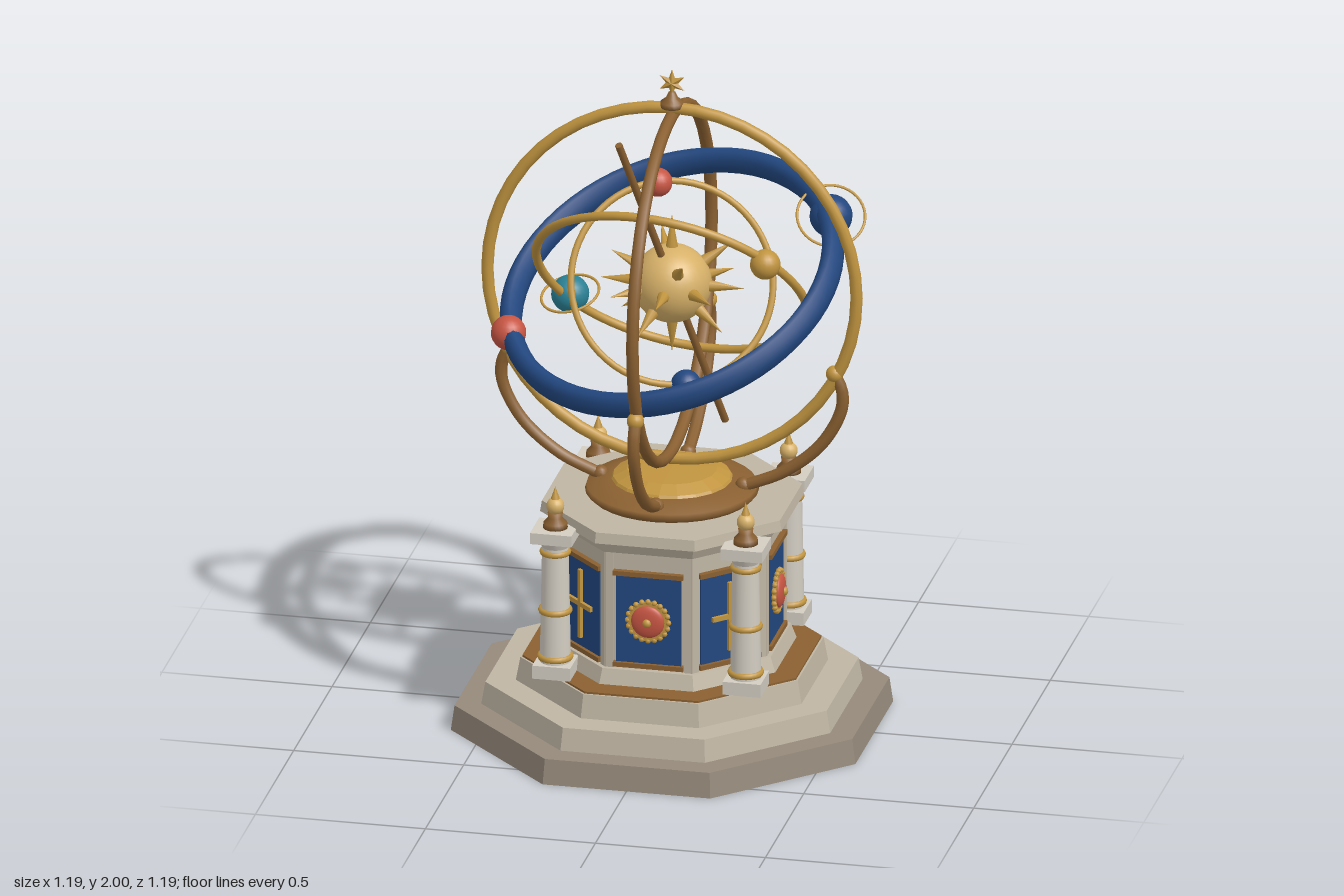
import * as THREE from 'three';

const mat = (name, color) => {
  const m = new THREE.MeshStandardMaterial({ color });
  m.name = name;
  return m;
};

export function createModel() {
  const gold = mat('gold', 0xc0943f), paleGold = mat('pale gold', 0xd6b068), bronze = mat('bronze', 0x8a6031);
  const stone = mat('stone', 0xbfb5a3), darkStone = mat('dark stone', 0x95897a), marble = mat('marble', 0xd2ccc1);
  const blue = mat('blue', 0x22477f), red = mat('red', 0xc65543), teal = mat('teal', 0x2a8195);

  const model = new THREE.Group();
  model.name = 'armillarySphere';
  const CENTER = new THREE.Vector3(0, 1.34, 0);
  const Z = new THREE.Vector3(0, 0, 1), Y = new THREE.Vector3(0, 1, 0);

  const add = (parent, name, geo, material, x = 0, y = 0, z = 0) => {
    const mesh = new THREE.Mesh(geo, material);
    mesh.name = name;
    mesh.position.set(x, y, z);
    parent.add(mesh);
    return mesh;
  };
  const group = (name, parent = model) => {
    const g = new THREE.Group();
    g.name = name;
    parent.add(g);
    return g;
  };
  const flat = (geo) => {
    const g = geo.index ? geo.toNonIndexed() : geo;
    g.computeVertexNormals();
    return g;
  };
  // Octagonal slab given by the distance from centre to its flat sides
  const octagon = (name, material, bottom, top, y0, y1) => {
    const k = 1 / Math.cos(Math.PI / 8);
    const geo = new THREE.CylinderGeometry(top * k, bottom * k, y1 - y0, 8).rotateY(Math.PI / 8);
    return add(model, name, flat(geo), material, 0, (y0 + y1) / 2, 0);
  };
  const ring = (name, material, center, normal, radius, tube, axial = 1, segments = 64) => {
    const geo = new THREE.TorusGeometry(radius, tube, 10, segments).scale(1, 1, axial);
    const mesh = add(model, name, geo, material, center.x, center.y, center.z);
    mesh.quaternion.setFromUnitVectors(Z, normal.clone().normalize());
    return mesh;
  };
  const v = (x, y, z) => new THREE.Vector3(x, y, z);
  const lathe = (points, n = 24) =>
    new THREE.LatheGeometry(points.map(([r, y]) => new THREE.Vector2(r, y)), n);

  // Stepped base
  octagon('lowerStep', darkStone, 0.595, 0.585, 0, 0.075);
  octagon('middleStep', stone, 0.513, 0.502, 0.075, 0.142);
  octagon('upperStep', stone, 0.42, 0.408, 0.142, 0.212);
  octagon('bronzeFloor', bronze, 0.402, 0.402, 0.212, 0.218);

  // Pedestal body and cornice
  octagon('bodyPlinth', stone, 0.335, 0.32, 0.218, 0.262);
  octagon('body', stone, 0.3, 0.3, 0.262, 0.62);
  octagon('lowerCornice', stone, 0.315, 0.335, 0.62, 0.66);
  octagon('upperCornice', stone, 0.355, 0.35, 0.66, 0.692);

  // Eight faces: blue panels with medallions or crosses
  for (let i = 0; i < 8; i++) {
    const face = group('pedestalFace');
    face.rotation.y = i * Math.PI / 4;
    add(face, 'panel', new THREE.BoxGeometry(0.19, 0.28, 0.008), blue, 0, 0.415, 0.303);
    for (const y of [0.275, 0.557])
      add(face, 'panelRail', new THREE.BoxGeometry(0.206, 0.014, 0.02), bronze, 0, y, 0.307);
    for (const s of [-1, 1])
      add(face, 'cornerPilaster', new THREE.BoxGeometry(0.026, 0.36, 0.014), stone, s * 0.116, 0.44, 0.301);
    if (i % 2 === 0) {
      add(face, 'medallionDisc', new THREE.CylinderGeometry(0.06, 0.06, 0.012, 32).rotateX(Math.PI / 2), gold, 0, 0.415, 0.312);
      for (let k = 0; k < 20; k++) {
        const a = k * Math.PI / 10;
        add(face, 'medallionBead', new THREE.SphereGeometry(0.0085, 8, 6), gold,
          0.06 * Math.cos(a), 0.415 + 0.06 * Math.sin(a), 0.313);
      }
      add(face, 'medallionDome', new THREE.SphereGeometry(0.049, 24, 12).scale(1, 1, 0.3), red, 0, 0.415, 0.318);
      add(face, 'medallionBoss', new THREE.SphereGeometry(0.014, 12, 8), gold, 0, 0.415, 0.328);
    } else {
      add(face, 'crossUpright', new THREE.BoxGeometry(0.014, 0.21, 0.012), gold, 0, 0.415, 0.311);
      add(face, 'crossBar', new THREE.BoxGeometry(0.12, 0.014, 0.012), gold, 0, 0.415, 0.311);
    }
  }

  // Corner columns with finials
  for (const sx of [-1, 1]) for (const sz of [-1, 1]) {
    const column = group('column');
    column.position.set(sx * 0.28, 0, sz * 0.28);
    add(column, 'columnPlinth', new THREE.BoxGeometry(0.112, 0.04, 0.112), marble, 0, 0.237, 0);
    add(column, 'shaft', new THREE.CylinderGeometry(0.038, 0.045, 0.38, 20), marble, 0, 0.445, 0);
    for (const [y, r] of [[0.272, 0.043], [0.415, 0.04], [0.595, 0.036]])
      add(column, 'columnBand', new THREE.TorusGeometry(r, 0.01, 8, 24).rotateX(Math.PI / 2), gold, 0, y, 0);
    add(column, 'capital', new THREE.CylinderGeometry(0.052, 0.038, 0.03, 20), marble, 0, 0.625, 0);
    add(column, 'abacus', new THREE.BoxGeometry(0.122, 0.034, 0.122), marble, 0, 0.652, 0);
    add(column, 'finialBase', lathe([[0, 0.668], [0.036, 0.668], [0.034, 0.685], [0.02, 0.7], [0.022, 0.715], [0, 0.716]]), bronze);
    add(column, 'finialBall', new THREE.SphereGeometry(0.026, 16, 12), paleGold, 0, 0.735, 0);
    add(column, 'finialTip', new THREE.ConeGeometry(0.014, 0.04, 12), gold, 0, 0.775, 0);
  }

  // Turntable
  add(model, 'turntable', lathe([[0, 0.69], [0.235, 0.69], [0.25, 0.705], [0.245, 0.72], [0.18, 0.74], [0, 0.74]], 32), bronze);
  add(model, 'turntableCap', flat(lathe([[0.178, 0.735], [0.17, 0.748], [0.13, 0.768], [0, 0.772]], 20)), gold);

  // Four curved supports carrying the rings
  const arm = new THREE.CatmullRomCurve3([
    v(0.21, 0.73, 0), v(0.33, 0.785, 0), v(0.44, 0.88, 0), v(0.498, 0.99, 0), v(0.5, 1.05, 0), v(0.478, 1.1, 0)]);
  for (let i = 0; i < 4; i++) {
    const support = group('support');
    support.rotation.y = i * Math.PI / 2;
    add(support, 'supportArm', new THREE.TubeGeometry(arm, 28, 0.018, 8), bronze);
    add(support, 'supportFoot', new THREE.SphereGeometry(0.024, 12, 8), bronze, 0.21, 0.732, 0);
    add(support, 'supportBall', new THREE.SphereGeometry(0.025, 16, 12), gold, 0.478, 1.1, 0);
  }

  // Fixed meridian rings and tilted orbit rings
  ring('frontMeridian', gold, CENTER, v(0, 0, 1), 0.543, 0.018, 1, 48);
  ring('sideMeridian', bronze, CENTER, v(1, 0, 0), 0.517, 0.018, 1, 48);
  ring('eclipticBand', blue, CENTER, v(-0.21, 0.885, 0.415), 0.484, 0.031, 1.45);
  ring('middleOrbit', gold, CENTER, v(0.08, 0.66, -0.745), 0.402, 0.013);
  ring('innerOrbit', gold, CENTER, v(0.35, 0.45, 0.82), 0.294, 0.01);

  // Planets, placed relative to the sun
  const planets = [
    ['outerRedPlanet', red, 0.051, -0.455, -0.15, 0.114],
    ['outerBluePlanet', blue, 0.062, 0.425, 0.17, -0.19],
    ['tealPlanet', teal, 0.055, -0.34, -0.135, -0.18],
    ['goldPlanet', gold, 0.044, 0.317, 0.16, 0.19],
    ['innerRedPlanet', red, 0.042, -0.067, 0.26, -0.114],
    ['innerBluePlanet', blue, 0.044, 0.067, -0.265, 0.114],
  ];
  for (const [name, material, r, x, y, z] of planets)
    add(model, name, new THREE.SphereGeometry(r, 20, 14), material, x, y + CENTER.y, z);
  ring('tealPlanetRing', gold, v(-0.34, 1.205, -0.18), v(-0.15, 0.93, 0.3), 0.085, 0.004, 1, 40);
  ring('bluePlanetRing', gold, v(0.425, 1.51, -0.19), v(0.2, 0.75, 0.63), 0.098, 0.004, 1, 40);

  // Sun with spikes
  const sun = group('sun');
  sun.position.copy(CENTER);
  add(sun, 'sunBall', new THREE.SphereGeometry(0.115, 28, 20), paleGold);
  const spike = (dir) => {
    dir.normalize();
    const mesh = add(sun, 'sunSpike', new THREE.ConeGeometry(0.02, 0.11, 8), gold);
    mesh.position.copy(dir).multiplyScalar(0.157);
    mesh.quaternion.setFromUnitVectors(Y, dir);
  };
  for (let i = 0; i < 8; i++) {
    const a = i * Math.PI / 4;
    spike(v(Math.cos(a), 0, Math.sin(a)));
    spike(v(Math.cos(a + Math.PI / 8), i % 2 ? 0.65 : -0.65, Math.sin(a + Math.PI / 8)));
  }
  spike(v(0, 1, 0));
  spike(v(0, -1, 0));

  // Tilted polar axis through the sun
  const axis = v(-0.105, 0.507, 0.23);
  const rod = add(model, 'polarAxis', new THREE.CylinderGeometry(0.011, 0.011, axis.length() * 2, 10), bronze, 0, CENTER.y, 0);
  rod.quaternion.setFromUnitVectors(Y, axis.clone().normalize());

  // Crown collar and faceted star
  add(model, 'crownCollar', lathe([[0, 1.875], [0.034, 1.885], [0.034, 1.9], [0.018, 1.912], [0.01, 1.93], [0, 1.935]], 16), bronze);
  const corners = [];
  const tip = (i) => {
    const a = Math.PI / 2 + i * Math.PI / 6, r = i % 2 ? 0.018 : 0.042;
    return [r * Math.cos(a), r * Math.sin(a), 0];
  };
  for (let i = 0; i < 12; i++) {
    corners.push(0, 0, 0.011, ...tip(i), ...tip(i + 1));
    corners.push(0, 0, -0.011, ...tip(i + 1), ...tip(i));
  }
  const starGeo = new THREE.BufferGeometry();
  starGeo.setAttribute('position', new THREE.Float32BufferAttribute(corners, 3));
  add(model, 'crownStar', flat(starGeo), gold, 0, 1.958, 0);

  return model;
}
